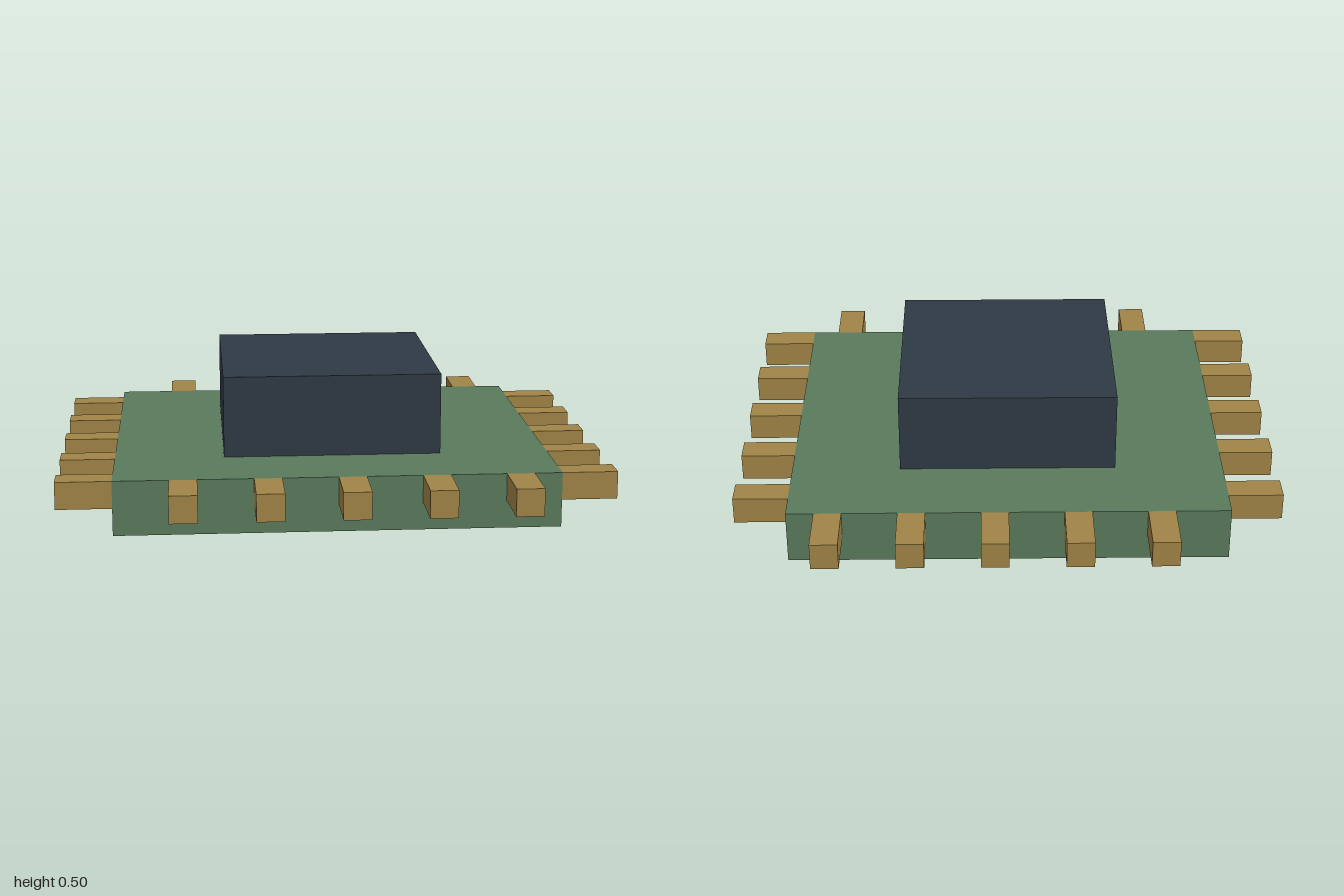
import * as THREE from 'three';

const material = (color) => new THREE.MeshStandardMaterial({ color, flatShading: true });

function addBox(parent, name, mat, size, position) {
  const mesh = new THREE.Mesh(new THREE.BoxGeometry(...size), mat);
  mesh.name = name;
  mesh.position.set(...position);
  parent.add(mesh);
}

export function createModel() {
  const model = new THREE.Group();
  model.name = 'chip';
  const green = material(0x5a7a5c);
  const dark = material(0x2f3a44);
  const gold = material(0xa08446);

  // Board and the raised block at its centre
  addBox(model, 'board', green, [1.6, 0.2, 1.4], [0, 0.1, 0]);
  addBox(model, 'core', dark, [0.8, 0.3, 0.8], [0, 0.35, 0]);

  // Five pins along each edge, flush with the board's top
  const pins = new THREE.Group();
  pins.name = 'pins';
  model.add(pins);
  for (let i = 0; i < 5; i++) {
    const along = -0.55 + 0.3 * i;
    for (const side of [-1, 1]) {
      addBox(pins, side > 0 ? 'leftPin' : 'rightPin', gold, [0.2, 0.1, 0.1], [side * 0.9, 0.15, along]);
      addBox(pins, side > 0 ? 'frontPin' : 'backPin', gold, [0.1, 0.1, 0.2], [along, 0.15, side * 0.8]);
    }
  }
  return model;
}
